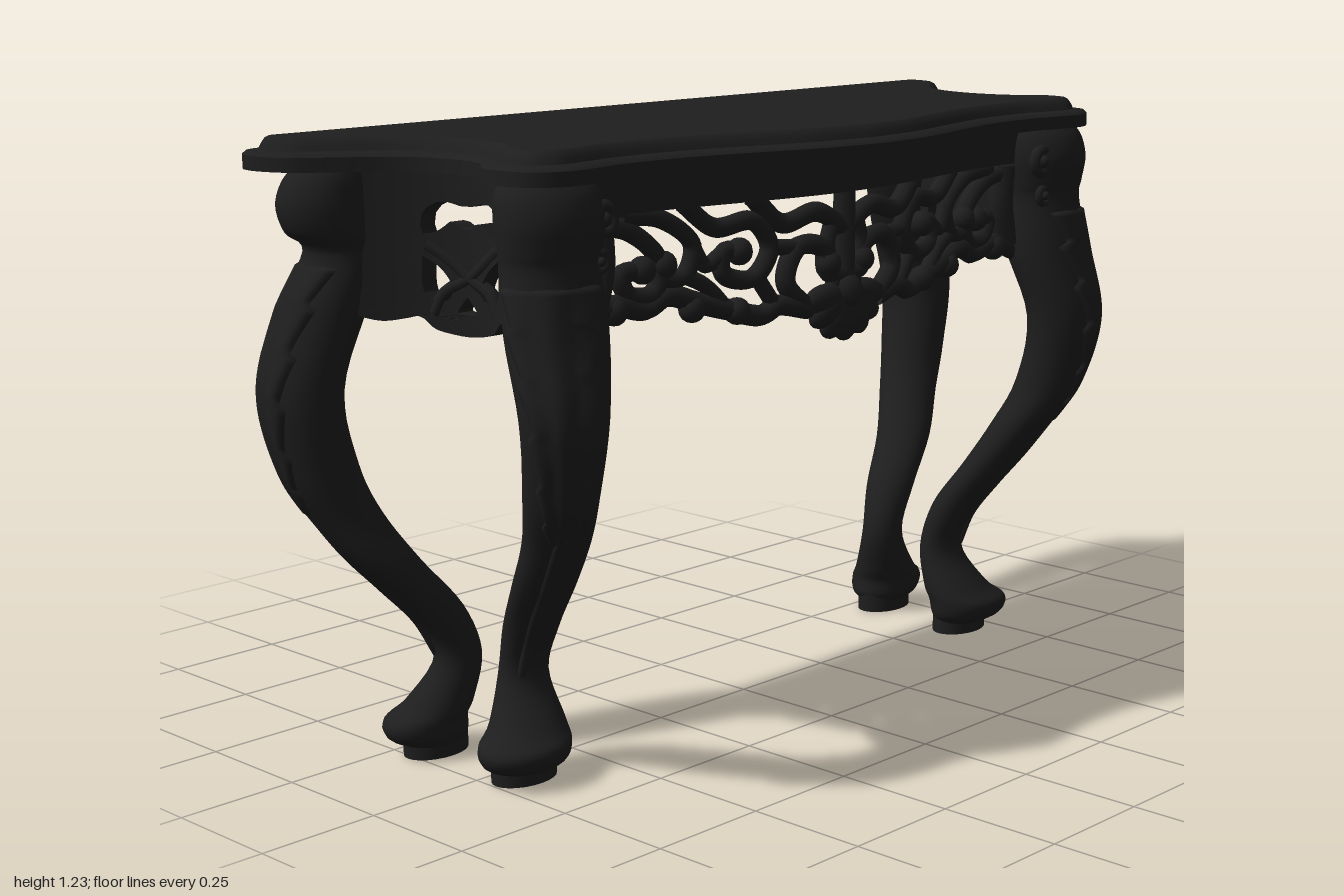
import * as THREE from 'three';
import { mergeVertices, toCreasedNormals } from 'three/addons/utils/BufferGeometryUtils.js';

const V2 = (x, y) => new THREE.Vector2(x, y);
const V3 = (x, y, z) => new THREE.Vector3(x, y, z);

// Skin a stack of rings (bottom to top, turning from +x towards +z)
function skin(rings, closed = true) {
  const n = rings[0].length, pos = [], idx = [];
  rings.forEach(r => r.forEach(p => pos.push(p.x, p.y, p.z)));
  for (let i = 0; i < rings.length - 1; i++) {
    for (let j = 0; j < (closed ? n : n - 1); j++) {
      const k = (j + 1) % n;
      const a = i * n + j, b = i * n + k, c = a + n, d = b + n;
      idx.push(a, c, b, b, c, d);
    }
  }
  const g = new THREE.BufferGeometry();
  g.setAttribute('position', new THREE.Float32BufferAttribute(pos, 3));
  g.setIndex(idx);
  g.computeVertexNormals();
  return g;
}

// Mirrored copy across x = 0 with the corner order turned round
function mirrored(geo) {
  const g = geo.clone().scale(-1, 1, 1), a = g.index.array;
  for (let i = 0; i < a.length; i += 3) [a[i + 1], a[i + 2]] = [a[i + 2], a[i + 1]];
  return g;
}

// Split every triangle in four, so that a flat plate can be bent smoothly
function split(geo) {
  const p = geo.attributes.position, out = [];
  const v = i => V3().fromBufferAttribute(p, i);
  for (let i = 0; i < p.count; i += 3) {
    const [a, b, c] = [v(i), v(i + 1), v(i + 2)];
    const [ab, bc, ca] = [[a, b], [b, c], [c, a]].map(([s, t]) => s.clone().lerp(t, 0.5));
    out.push(a, ab, ca, ab, b, bc, ca, bc, c, ab, bc, ca);
  }
  return new THREE.BufferGeometry().setFromPoints(out);
}

// Serpentine line of the front apron and hollow line of the side aprons
const frontZ = x => 0.215 + 0.07 * (1 + Math.cos(Math.PI * Math.min(Math.abs(x) / 0.6, 1))) / 2;
const sideX = z => 0.72 + 2.6 * (z - 0.03) ** 2;

export function createModel() {
  const table = new THREE.Group();
  table.name = 'consoleTable';
  const black = new THREE.MeshStandardMaterial({ color: 0x1e1e1e, side: THREE.DoubleSide });
  black.name = 'blackLacquer';

  const add = (geo, name, parent = table) => {
    const m = new THREE.Mesh(geo, black);
    m.name = name;
    parent.add(m);
  };
  const addPair = (geo, name, parent) => {
    add(geo, name + 'Left', parent);
    add(mirrored(geo), name + 'Right', parent);
  };

  // Table top: shaped outline with a stepped moulding
  const half = [[0, .383], [.15, .366], [.3, .327], [.45, .292], [.6, .283], [.68, .295], [.76, .3], [.82, .265],
    [.84, .2], [.828, .145], [.79, .1], [.775, .05], [.775, 0], [.79, -.06], [.83, -.12], [.9, -.175],
    [.962, -.225], [.988, -.28], [.99, -.33], [.968, -.368], [.93, -.383], [.88, -.383]];
  const right = new THREE.SplineCurve(half.map(p => V2(...p))).getPoints(84);
  const left = right.slice(1).map(p => V2(-p.x, p.y));
  const loop = [...right.reverse(), ...left];
  const inset = d => loop.map((p, i) => {
    const n = loop.length;
    const t0 = p.clone().sub(loop[(i + n - 1) % n]).normalize();
    const t1 = loop[(i + 1) % n].clone().sub(p).normalize();
    const t = t0.add(t1).normalize();
    return V2(p.x - t.y * d, p.y + t.x * d);
  });
  const top = new THREE.Group();
  top.name = 'tableTop';
  table.add(top);
  const steps = [[0, 1.17], [0, 1.197], [.007, 1.203], [.03, 1.206], [.035, 1.216], [.042, 1.226], [.05, 1.23]];
  const rings = steps.map(([d, y]) => inset(d).map(p => V3(p.x, y, p.y)));
  add(toCreasedNormals(skin(rings), 0.6), 'topMoulding', top);
  // drop any points that run backwards in tight corners
  const rim = inset(.05).filter((p, i, a) => {
    const k = (i + 1) % a.length;
    return a[k].clone().sub(p).dot(loop[k].clone().sub(loop[i])) > 0;
  });
  const lid = new THREE.ShapeGeometry(new THREE.Shape(rim.map(p => V2(p.x, -p.y))));
  add(lid.rotateX(-Math.PI / 2).translate(0, 1.23, 0), 'topSurface', top);
  const under = new THREE.ShapeGeometry(new THREE.Shape(loop));
  add(under.rotateX(Math.PI / 2).translate(0, 1.17, 0), 'topUnderside', top);

  // Cabriole legs; rows are y, centre x, centre z, radius x, radius z
  const legs = {
    frontLeg: { out: 0.9, rows: [
      [.02, .674, .052, .06, .046], [.042, .684, .066, .09, .072], [.075, .684, .068, .098, .08], [.11, .662, .05, .08, .066],
      [.2, .643, .02, .054, .042], [.3, .652, .055, .058, .05], [.4, .68, .125, .066, .055], [.5, .706, .19, .066, .062],
      [.6, .738, .24, .071, .07], [.75, .752, .268, .09, .072], [.9, .735, .232, .106, .08], [1.01, .73, .213, .1, .078],
      [1.05, .73, .213, .104, .083], [1.1, .73, .214, .11, .09], [1.145, .73, .208, .106, .084], [1.175, .73, .2, .09, .07]] },
    backLeg: { out: -0.4, rows: [
      [.02, .692, -.19, .06, .046], [.042, .706, -.197, .088, .068], [.075, .71, -.197, .09, .072], [.11, .685, -.182, .072, .062],
      [.2, .652, -.163, .05, .043], [.3, .698, -.178, .06, .052], [.4, .782, -.21, .067, .06], [.5, .846, -.25, .07, .066],
      [.6, .89, -.274, .076, .074], [.75, .915, -.287, .077, .086], [.9, .868, -.278, .083, .088], [1.01, .82, -.262, .08, .08],
      [1.05, .846, -.262, .095, .083], [1.1, .858, -.265, .098, .087], [1.145, .85, -.262, .094, .082], [1.175, .84, -.255, .08, .07]] },
  };
  for (const [name, { out, rows }] of Object.entries(legs)) {
    const group = new THREE.Group();
    group.name = name + 's';
    table.add(group);
    const axis = new THREE.CatmullRomCurve3(rows.map(r => V3(r[1], r[0], r[2])), false, 'catmullrom', 0.5);
    const radii = new THREE.CatmullRomCurve3(rows.map(r => V3(r[3], 0, r[4])), false, 'catmullrom', 0.5);
    const at = (t, a, extra = 0) => {
      const c = axis.getPoint(t), r = radii.getPoint(t);
      return V3(c.x + Math.cos(a) * (r.x + extra), c.y, c.z + Math.sin(a) * (r.z + extra));
    };
    const legRings = [];
    for (let i = 0; i <= 75; i++) {
      legRings.push(Array.from({ length: 24 }, (_, j) => at(i / 75, j / 24 * Math.PI * 2)));
    }
    addPair(skin(legRings), name, group);

    // Carved acanthus leaf with a jagged edge wrapped over the knee
    const leafRings = [];
    for (let i = 0; i <= 48; i++) {
      const s = i / 48, saw = (s * 6) % 1;
      const w = (0.15 + 1.25 * Math.sqrt(s)) * (0.78 + 0.22 * saw);
      leafRings.push(Array.from({ length: 15 }, (_, j) => {
        const u = j / 7 - 1, edge = Math.abs(u) === 1 ? -0.008 : 0.005 + 0.003 * Math.cos(u * 9);
        return at(0.47 + 0.25 * s, out + u * w, i === 0 || i === 48 ? -0.008 : edge);
      }));
    }
    addPair(skin(leafRings, false), name + 'Leaf', group);

    // Narrow rib down the shin
    const rib = new THREE.CatmullRomCurve3([.27, .32, .37, .42, .48].map(t => at(t, out, -0.006)));
    addPair(new THREE.TubeGeometry(rib, 30, 0.01, 8), name + 'Rib', group);

    // Block under the foot
    const [, x, z, rx, rz] = rows[0];
    const pad = new THREE.CylinderGeometry(1, 1, .05, 24).scale(rx + .012, 1, rz + .004);
    addPair(pad.translate(x, .025, z), name + 'Pad', group);
  }

  // Small scrolls beside the front knees
  [[.655, 1.1, .035], [.665, 1.025, .024]].forEach(([x, y, r], i) => {
    const ring = new THREE.TorusGeometry(r * .7, r * .35, 8, 20).translate(x, y, .27);
    addPair(ring, 'kneeScroll' + (i + 1));
    addPair(new THREE.SphereGeometry(r * .4, 10, 8).translate(x, y, .275), 'kneeBud' + (i + 1));
  });

  // Front and back rails
  const line = Array.from({ length: 41 }, (_, i) => -.68 + i * .034);
  const band = new THREE.Shape([...line.map(x => V2(x, -frontZ(x) - .008)),
    ...line.slice().reverse().map(x => V2(x, -frontZ(x) + .035))]);
  const rail = new THREE.ExtrudeGeometry(band, { depth: .08, bevelEnabled: false });
  add(toCreasedNormals(rail.rotateX(-Math.PI / 2).translate(0, 1.095, 0), .6), 'frontRail');
  add(new THREE.BoxGeometry(1.66, .07, .035).translate(0, 1.137, -.315), 'backRail');

  // Pierced front apron: scrolls as radius and x, y points bent along the front
  const apron = new THREE.Group();
  apron.name = 'frontApron';
  table.add(apron);
  const tube = (pts, r) => new THREE.TubeGeometry(
    new THREE.CatmullRomCurve3(pts.map(([x, y]) => V3(x, y, frontZ(x) - .012))), pts.length * 8, r, 8);
  const scrolls = [
    [.021, [.65, .9], [.57, .925], [.49, .91], [.44, .93], [.37, .91], [.3, .89], [.22, .87], [.18, .885], [.1, .87]],
    [.019, [.64, 1.08], [.53, 1.06], [.46, 1.0], [.47, .94], [.53, .94], [.55, .98], [.51, .985]],
    [.018, [.55, 1.09], [.45, 1.075], [.38, 1.02], [.4, .965], [.45, .965], [.45, 1.0]],
    [.019, [.4, 1.1], [.33, 1.05], [.24, 1.055], [.2, 1.0], [.24, .945], [.31, .96], [.31, 1.0], [.27, 1.0]],
    [.02, [.24, 1.1], [.17, 1.045], [.08, 1.06], [0, 1.02]],
    [.02, [.1, .87], [.16, .93], [.13, .995], [.06, .985], [.05, .94], [0, .93]],
    [.016, [.19, .89], [.23, .945]],
    [.016, [.3, .89], [.35, .94], [.4, .965]],
    [.016, [.31, 1.0], [.35, .98], [.38, 1.02]],
    [.016, [.13, .995], [.2, 1.0]],
    [.028, [.605, 1.09], [.6, 1.0], [.62, .92]],
    [.016, [.04, 1.03], [.05, .99], [.03, .93], [.04, .88]],
  ];
  scrolls.forEach(([r, ...p], i) => addPair(tube(p, r), 'apronScroll' + (i + 1), apron));
  add(tube([[0, 1.1], [0, 1.0], [0, .88]], .022), 'apronStem', apron);
  [[.5, .985], [.45, .99], [.275, 1.0], [.05, .955], [.28, .885], [.385, .9], [.57, .915]].forEach(([x, y], i) =>
    addPair(new THREE.SphereGeometry(.027, 12, 8).translate(x, y, frontZ(x) - .008), 'apronBud' + (i + 1), apron));

  // Shell at the middle of the apron, as a fan of lobes
  for (let i = -3; i <= 3; i++) {
    const lobe = new THREE.SphereGeometry(1, 14, 10).scale(.03, .05, .024).translate(0, -.048, 0);
    add(lobe.rotateZ(i * .48).scale(1.2, 1, 1).translate(0, .892, .275), 'shellLobe' + (i + 4), apron);
  }
  add(new THREE.SphereGeometry(.04, 14, 10).translate(0, .895, .272), 'shellBud', apron);

  // Pierced side aprons: z, y outlines bent along the hollow sides
  const smooth = pts => new THREE.SplineCurve([...pts, pts[0]].map(p => V2(...p))).getPoints(26).slice(1);
  const lower = [[-.204, .9], [-.16, .885], [-.11, .895], [-.08, .87], [-.02, .86], [.04, .87], [.07, .895], [.12, .88], [.16, .9]];
  const panel = new THREE.Shape([V2(.16, 1.172), V2(-.02, 1.172), V2(-.204, 1.172),
    ...new THREE.SplineCurve(lower.map(p => V2(...p))).getPoints(32)]);
  const hole = [[.06, 1.04], [.06, 1.09], [.03, 1.112], [-.02, 1.103], [-.07, 1.112], [-.1, 1.09], [-.1, 1.05],
    [-.07, 1.06], [-.05, 1.075], [-.02, 1.06], [.01, 1.075], [.035, 1.055]];
  const lowHole = [[.062, 1.01], [.06, .94], [.025, .925], [.01, .95], [.03, .985]];
  [hole, lowHole, lowHole.map(([z, y]) => [-.04 - z, y]), [[-.02, .935], [.0, .905], [-.04, .905]]]
    .forEach(h => panel.holes.push(new THREE.Path(smooth(h))));
  const plate = new THREE.ExtrudeGeometry(panel, { depth: .035, bevelEnabled: false });
  const side = split(split(split(plate)));
  const p = side.attributes.position;
  for (let i = 0; i < p.count; i++) {
    const z = p.getX(i), d = p.getZ(i);
    // turn the plate to face -x inside and +x outside, keeping the corner order
    p.setXYZ(i, sideX(z) - d, p.getY(i), z);
  }
  addPair(mergeVertices(toCreasedNormals(side, .7)), 'sideApron');

  // Raised crossing scrolls on the side aprons
  [[[.06, 1.03], [.03, 1.01], [-.02, .97], [-.07, .94], [-.09, .9]],
    [[-.1, 1.03], [-.07, 1.01], [-.02, .97], [.03, .94], [.05, .9]]].forEach((pts, i) => {
    const c = new THREE.CatmullRomCurve3(pts.map(([z, y]) => V3(sideX(z) - .01, y, z)));
    addPair(new THREE.TubeGeometry(c, 30, .014, 8), 'sideScroll' + (i + 1));
  });

  return table;
}
